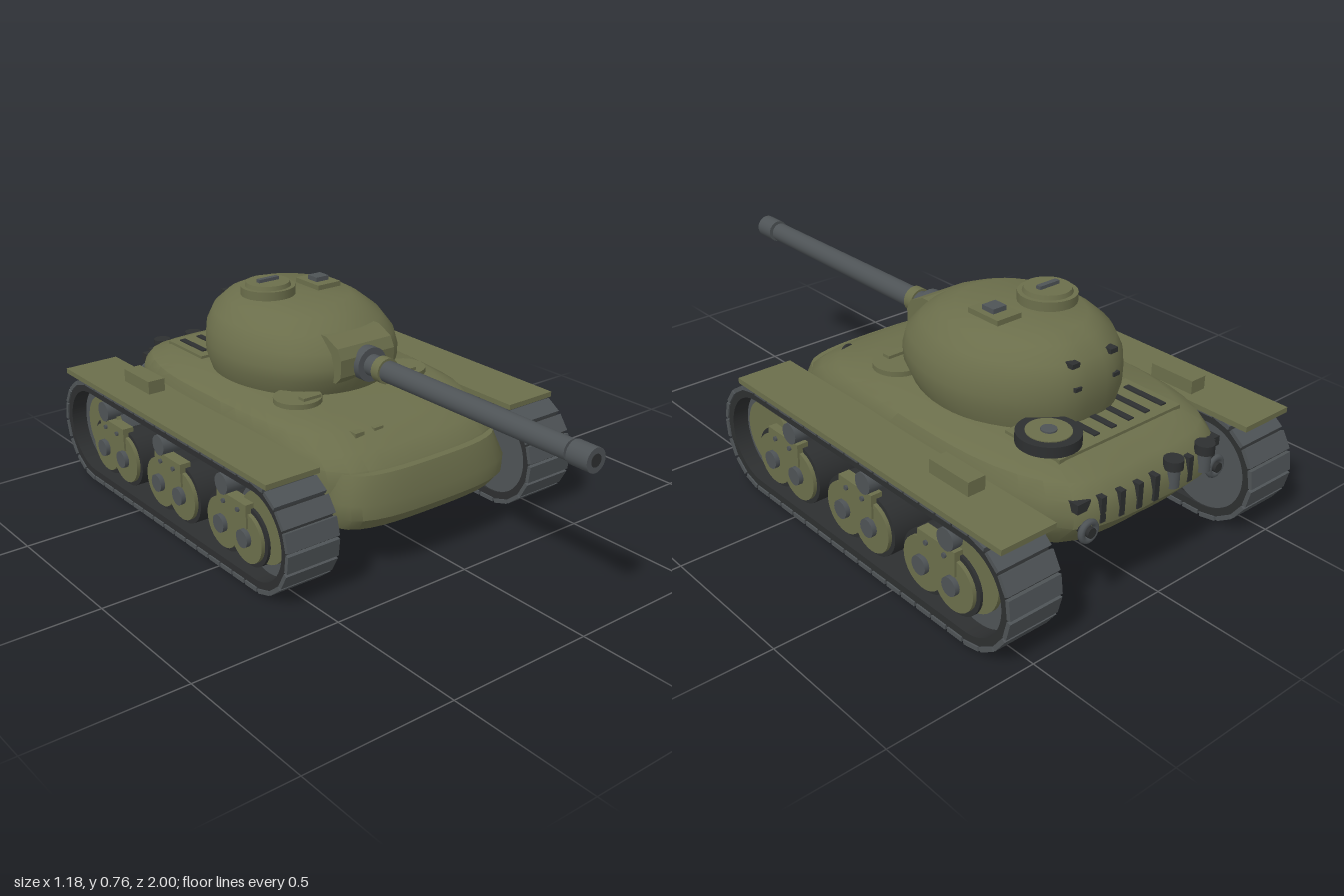
import * as THREE from 'three';
import { toCreasedNormals } from 'three/addons/utils/BufferGeometryUtils.js';

const paint = (hex) => new THREE.MeshStandardMaterial({ color: hex });

// Stack of plan outlines: levels are [y, halfWidth, zFront, zBack], half is the unit outline from front to back
function loft(half, levels, n = 48) {
  const mirrored = half.slice(1, -1).reverse().map(([u, v]) => [-u, v]);
  const curve = new THREE.CatmullRomCurve3(
    [...half, ...mirrored].map(([u, v]) => new THREE.Vector3(u, 0, v)), true);
  const ring = curve.getSpacedPoints(n).slice(0, n);
  const pos = [], idx = [];
  for (const [y, w, zf, zb] of levels)
    for (const p of ring) pos.push(p.x * w, y, (zf + zb) / 2 + p.z * (zf - zb) / 2);
  const last = (levels.length - 1) * n, base = levels.length * n;
  for (const l of [levels[0], levels[levels.length - 1]]) pos.push(0, l[0], (l[2] + l[3]) / 2);
  for (let i = 0; i < n; i++) {
    const j = (i + 1) % n;
    for (let k = 0; k < last; k += n) idx.push(k + i, k + j, k + n + j, k + i, k + n + j, k + n + i);
    idx.push(base, j, i, base + 1, last + i, last + j);
  }
  const g = new THREE.BufferGeometry();
  g.setAttribute('position', new THREE.Float32BufferAttribute(pos, 3));
  g.setIndex(idx);
  return toCreasedNormals(g, 0.6);
}

const box = (w, h, d) => new THREE.BoxGeometry(w, h, d);
const cylY = (r, h, r2 = r, n = 24) => new THREE.CylinderGeometry(r2, r, h, n);
const cylX = (r, h, n = 28) => cylY(r, h, r, n).rotateZ(Math.PI / 2);
const cylZ = (r, h, r2 = r, n = 24) => cylY(r, h, r2, n).rotateX(Math.PI / 2);

// Track loop: two half circles joined by straight runs
const TRACK = { y: 0.187, zf: 0.195, zb: -0.812 };
function stadium(path, r) {
  path.absarc(TRACK.zf, TRACK.y, r, -Math.PI / 2, Math.PI / 2, false);
  path.absarc(TRACK.zb, TRACK.y, r, Math.PI / 2, Math.PI * 1.5, false);
  path.closePath();
  return path;
}

export function createModel() {
  const olive = paint(0x6b6e4b), grey = paint(0x4e5356), dark = paint(0x2d2f30);
  olive.name = 'olive'; grey.name = 'steelGrey'; dark.name = 'darkRubber';

  const model = new THREE.Group();
  model.name = 'tank';
  const group = (name) => {
    const g = new THREE.Group();
    g.name = name;
    model.add(g);
    return g;
  };
  const add = (parent, name, geo, mat, x = 0, y = 0, z = 0) => {
    const m = new THREE.Mesh(geo, mat);
    m.name = name;
    m.position.set(x, y, z);
    parent.add(m);
    return m;
  };

  // Cast hull and rounded nose
  const hull = group('hull');
  add(hull, 'hullBody', loft(
    [[0, 1], [0.5, 0.98], [0.75, 0.92], [0.9, 0.75], [0.97, 0.45], [1, 0], [0.99, -0.4],
      [0.93, -0.65], [0.83, -0.83], [0.68, -0.95], [0.3, -1], [0, -1]],
    [[0.155, 0.335, 0.33, -0.8], [0.22, 0.398, 0.35, -0.9], [0.3, 0.407, 0.35, -0.97],
      [0.34, 0.407, 0.335, -0.972], [0.38, 0.402, 0.28, -0.96], [0.42, 0.385, 0.2, -0.92],
      [0.445, 0.345, 0.09, -0.84]]), olive);
  add(hull, 'nose', loft(
    [[0, 1], [0.6, 0.94], [0.88, 0.75], [1, 0.4], [1, 0], [0.9, -1], [0, -1]],
    [[0.155, 0.325, 0.35, 0.05], [0.2, 0.335, 0.39, 0.05], [0.25, 0.34, 0.39, 0.05],
      [0.335, 0.312, 0.362, 0.05]]), olive);

  // Hull fittings
  for (const s of [1, -1]) {
    add(hull, 'driverHatch', cylY(0.08, 0.03), olive, s * 0.22, 0.447, -0.07);
    add(hull, 'hatchPeriscope', box(0.07, 0.02, 0.03), olive, s * 0.2, 0.462, -0.03);
    add(hull, 'towRing', new THREE.TorusGeometry(0.028, 0.01, 8, 20), grey, s * 0.265, 0.3, -0.955);
    add(hull, 'towMount', cylZ(0.016, 0.08), dark, s * 0.265, 0.3, -0.93);
    add(hull, 'rearBracket', box(0.05, 0.03, 0.04), dark, s * 0.27, 0.37, -0.92);
  }
  for (const x of [-0.19, -0.115]) add(hull, 'visor', box(0.035, 0.025, 0.04), olive, x, 0.408, 0.195);
  add(hull, 'towHook', new THREE.TorusGeometry(0.02, 0.006, 6, 12, Math.PI), dark, 0.225, 0.4, 0.19);
  add(hull, 'engineDeck', box(0.5, 0.015, 0.22), olive, 0, 0.447, -0.71);
  for (let i = 0; i < 5; i++)
    add(hull, 'deckSlot', box(0.022, 0.008, 0.15), dark, -0.21 + i * 0.07, 0.455, -0.715);
  for (const x of [-0.25, -0.13, 0.02, 0.085, 0.15, 0.215])
    add(hull, 'rearSlot', box(0.02, 0.08, 0.03), dark, x, 0.35, -0.965 + 0.4 * x * x);
  for (const x of [-0.195, -0.06]) {
    add(hull, 'exhaustPipe', cylY(0.022, 0.08), grey, x, 0.36, -0.965);
    add(hull, 'exhaustCap', cylY(0.03, 0.03), dark, x, 0.395, -0.965);
  }
  // Spare wheel
  const spare = group('spareWheel');
  spare.position.set(0.2, 0.472, -0.725);
  add(spare, 'spareTyre', cylY(0.096, 0.034, 0.096, 32), dark);
  add(spare, 'spareDisc', cylY(0.068, 0.04), olive);
  add(spare, 'spareHub', cylY(0.024, 0.05), grey);

  // Turret
  const turret = group('turret');
  add(turret, 'turretBody', loft(
    [[0, 1], [0.32, 0.95], [0.6, 0.82], [0.77, 0.66], [0.94, 0.33], [1, 0], [0.95, -0.33],
      [0.72, -0.7], [0.45, -0.91], [0.24, -0.99], [0, -1]],
    [[0.445, 0.288, -0.03, -0.7], [0.5, 0.308, 0, -0.713], [0.54, 0.307, 0.005, -0.715],
      [0.59, 0.298, -0.01, -0.712], [0.64, 0.268, -0.06, -0.69], [0.68, 0.22, -0.12, -0.645],
      [0.7, 0.185, -0.18, -0.6]]), olive);
  const profile = new THREE.Shape([[-0.2, 0.495], [-0.01, 0.495], [0.015, 0.52], [0.018, 0.58],
    [0, 0.615], [-0.06, 0.642], [-0.2, 0.642]].map(([z, y]) => new THREE.Vector2(z, y)));
  add(turret, 'mantlet', new THREE.ExtrudeGeometry(profile, { depth: 0.22, bevelEnabled: false })
    .rotateY(-Math.PI / 2), olive, 0.11);
  add(turret, 'cupolaBase', cylY(0.093, 0.04), olive, -0.09, 0.71, -0.41);
  add(turret, 'cupolaLid', cylY(0.08, 0.02, 0.074), olive, -0.09, 0.734, -0.41);
  add(turret, 'cupolaHandle', box(0.08, 0.012, 0.018), grey, -0.09, 0.749, -0.41);
  add(turret, 'loaderHatch', box(0.095, 0.03, 0.13), olive, 0.108, 0.702, -0.392);
  add(turret, 'loaderPeriscope', box(0.052, 0.025, 0.05), grey, 0.108, 0.72, -0.39);
  for (const x of [-0.08, 0.075]) {
    add(turret, 'rearHook', box(0.03, 0.015, 0.03), dark, x, 0.64, -0.685);
    add(turret, 'rearEyelet', box(0.025, 0.012, 0.02), dark, x, 0.57, -0.705);
  }

  // Gun
  const gun = group('gun');
  gun.position.y = 0.55;
  add(gun, 'gunBase', cylZ(0.058, 0.045), grey, 0, 0, 0.018);
  add(gun, 'barrel', cylZ(0.036, 0.91, 0.033), grey, 0, 0, 0.455);
  add(gun, 'barrelCollar', cylZ(0.043, 0.035), olive, 0, 0, 0.102);
  add(gun, 'muzzle', cylZ(0.038, 0.077), grey, 0, 0, 0.9605);
  add(gun, 'bore', cylZ(0.02, 0.004), dark, 0, 0, 0.998);

  // Running gear, one set per side
  const band = stadium(new THREE.Shape(), 0.175);
  band.holes.push(stadium(new THREE.Path(), 0.148));
  const bandGeo = new THREE.ExtrudeGeometry(band, { depth: 0.18, bevelEnabled: false, curveSegments: 24 })
    .rotateY(-Math.PI / 2).translate(0.09, 0, 0);
  const run = TRACK.zf - TRACK.zb, arc = Math.PI * 0.18, loop = 2 * (run + arc), links = 46;

  for (const s of [1, -1]) {
    const side = group(s > 0 ? 'leftRunningGear' : 'rightRunningGear');
    add(side, 'trackBand', bandGeo, dark, s * 0.495);
    for (let i = 0; i < links; i++) {
      // Walk along the bottom, front arc, top and rear arc; a is the outward angle
      let d = (i + 0.5) * loop / links, z, a;
      if (d < run) { z = TRACK.zb + d; a = -Math.PI / 2; }
      else if ((d -= run) < arc) { z = TRACK.zf; a = -Math.PI / 2 + d / 0.18; }
      else if ((d -= arc) < run) { z = TRACK.zf - d; a = Math.PI / 2; }
      else { z = TRACK.zb; a = Math.PI / 2 + (d - run) / 0.18; }
      const pad = add(side, 'trackLink', box(0.19, 0.06, 0.014), grey, s * 0.495,
        TRACK.y + Math.sin(a) * 0.179, z + Math.cos(a) * 0.179);
      pad.rotation.x = -a;
    }

    // Large end wheels with olive covers
    for (const [z, cover] of [[TRACK.zf, 0.19], [TRACK.zb, -0.787]]) {
      add(side, 'endWheel', cylX(0.149, 0.12, 36), grey, s * 0.47, TRACK.y, z);
      add(side, 'endWheelCover', cylX(0.118, 0.02, 36), olive, s * 0.535, TRACK.y + 0.01, cover);
    }
    // Three bogies of two wheels and a return roller
    for (const z of [0.065, -0.31, -0.68]) {
      for (const dz of [-0.065, 0.065]) {
        add(side, 'roadTyre', cylX(0.1, 0.14), dark, s * 0.485, 0.147, z + dz);
        add(side, 'roadWheel', cylX(0.085, 0.02), olive, s * 0.558, 0.147, z + dz);
        add(side, 'wheelHub', cylX(0.03, 0.03, 16), grey, s * 0.569, 0.147, z + dz);
        add(side, 'bracketBolt', cylX(0.008, 0.008, 8), grey, s * 0.578, 0.235, z + dz * 0.6);
      }
      add(side, 'bogieBracket', box(0.04, 0.08, 0.16), olive, s * 0.555, 0.222, z);
      add(side, 'returnRoller', cylX(0.035, 0.1, 16), grey, s * 0.53, 0.29, z - 0.045);
    }

    // Fender and stowage box
    add(side, 'fender', box(0.197, 0.018, 1.24), olive, s * 0.4925, 0.376, -0.34);
    add(side, 'stowageBox', box(0.062, 0.05, 0.165), olive, s * 0.46, 0.405, -0.635);
  }
  return model;
}
